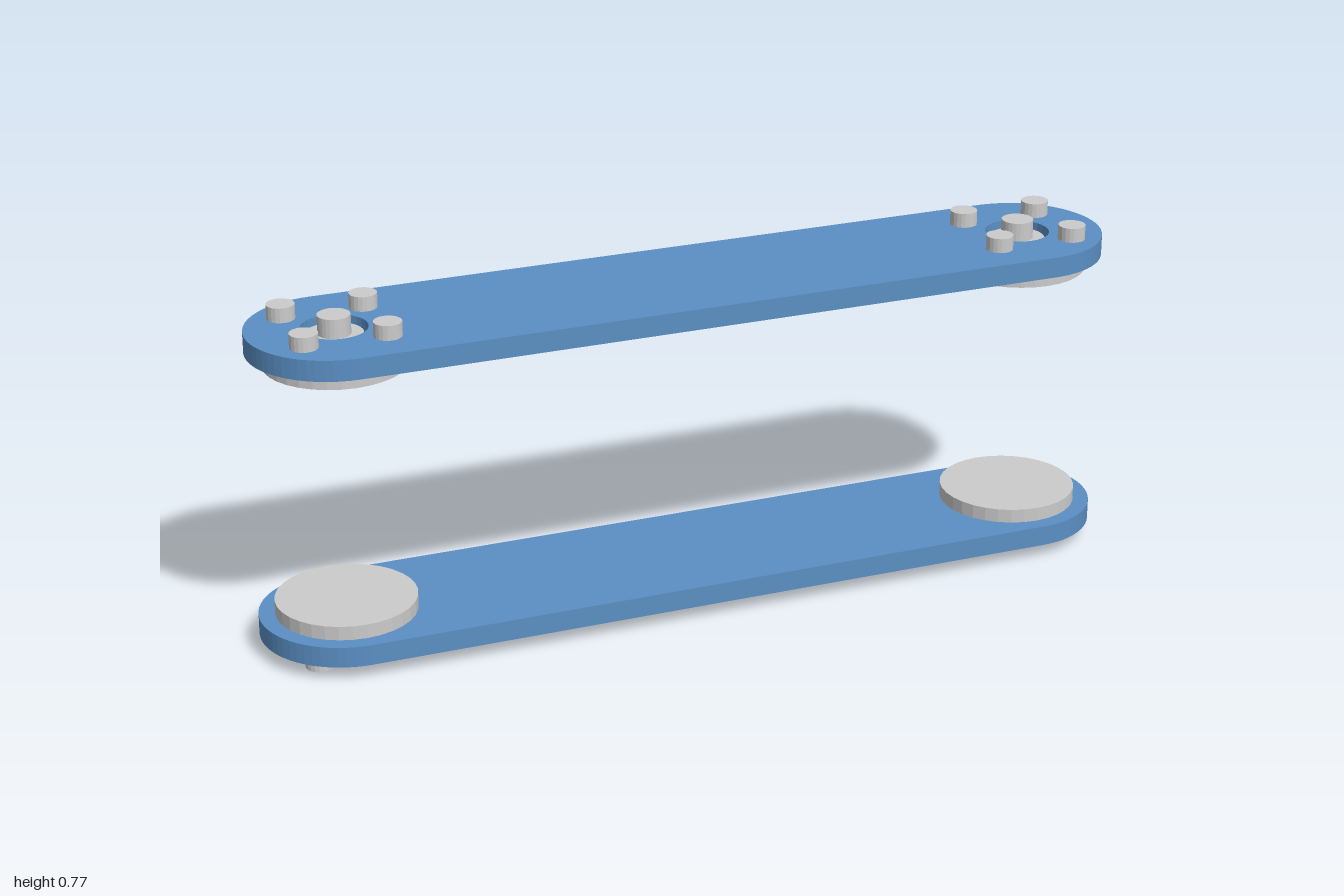
import * as THREE from 'three';

const END_X = 0.807, RADIUS = 0.193, PLATE_T = 0.047;
const blue = new THREE.MeshStandardMaterial({ color: 0x5b8fc4, flatShading: true });
const grey = new THREE.MeshStandardMaterial({ color: 0xcccccc, flatShading: true });

// Upright cylinder spanning y0..y1
function disc(name, r, y0, y1, x, z, sides) {
  const mesh = new THREE.Mesh(new THREE.CylinderGeometry(r, r, y1 - y0, sides), grey);
  mesh.position.set(x, (y0 + y1) / 2, z);
  mesh.name = name;
  return mesh;
}

// Round-ended bar with a hole at each end
function plate(name, y0) {
  const shape = new THREE.Shape();
  shape.absarc(END_X, 0, RADIUS, -Math.PI / 2, Math.PI / 2, false);
  shape.absarc(-END_X, 0, RADIUS, Math.PI / 2, Math.PI * 1.5, false);
  shape.closePath();
  for (const s of [-1, 1]) {
    const hole = new THREE.Path();
    hole.absarc(s * END_X, 0, 0.073, 0, Math.PI * 2, true);
    shape.holes.push(hole);
  }
  const geo = new THREE.ExtrudeGeometry(shape, { depth: PLATE_T, bevelEnabled: false, curveSegments: 16 });
  geo.rotateX(-Math.PI / 2);
  const mesh = new THREE.Mesh(geo, blue);
  mesh.position.y = y0;
  mesh.name = name;
  return mesh;
}

export function createModel() {
  const model = new THREE.Group();
  model.name = 'linkPair';
  const lower = new THREE.Group(), upper = new THREE.Group();
  lower.name = 'lowerLink';
  upper.name = 'upperLink';
  model.add(lower, upper);

  lower.add(plate('lowerPlate', 0.034));
  upper.add(plate('upperPlate', 0.695));

  for (const s of [-1, 1]) {
    const x = s * END_X;
    // Pads on the facing sides of the plates
    lower.add(disc('lowerPad', 0.157, 0.081, 0.113, x, 0, 32));
    upper.add(disc('upperPad', 0.157, 0.662, 0.695, x, 0, 32));

    // Stepped axle in each upper hole
    upper.add(disc('axleCollar', 0.063, 0.69, 0.728, x, 0, 32));
    upper.add(disc('axlePin', 0.036, 0.69, 0.771, x, 0, 24));

    // Four bolts around each hole on the outer sides
    for (const dx of [-0.091, 0.091]) {
      for (const z of [-0.091, 0.091]) {
        lower.add(disc('lowerBolt', 0.031, 0, 0.04, x + dx, z, 20));
        upper.add(disc('upperBolt', 0.031, 0.735, 0.775, x + dx, z, 20));
      }
    }
  }
  return model;
}
